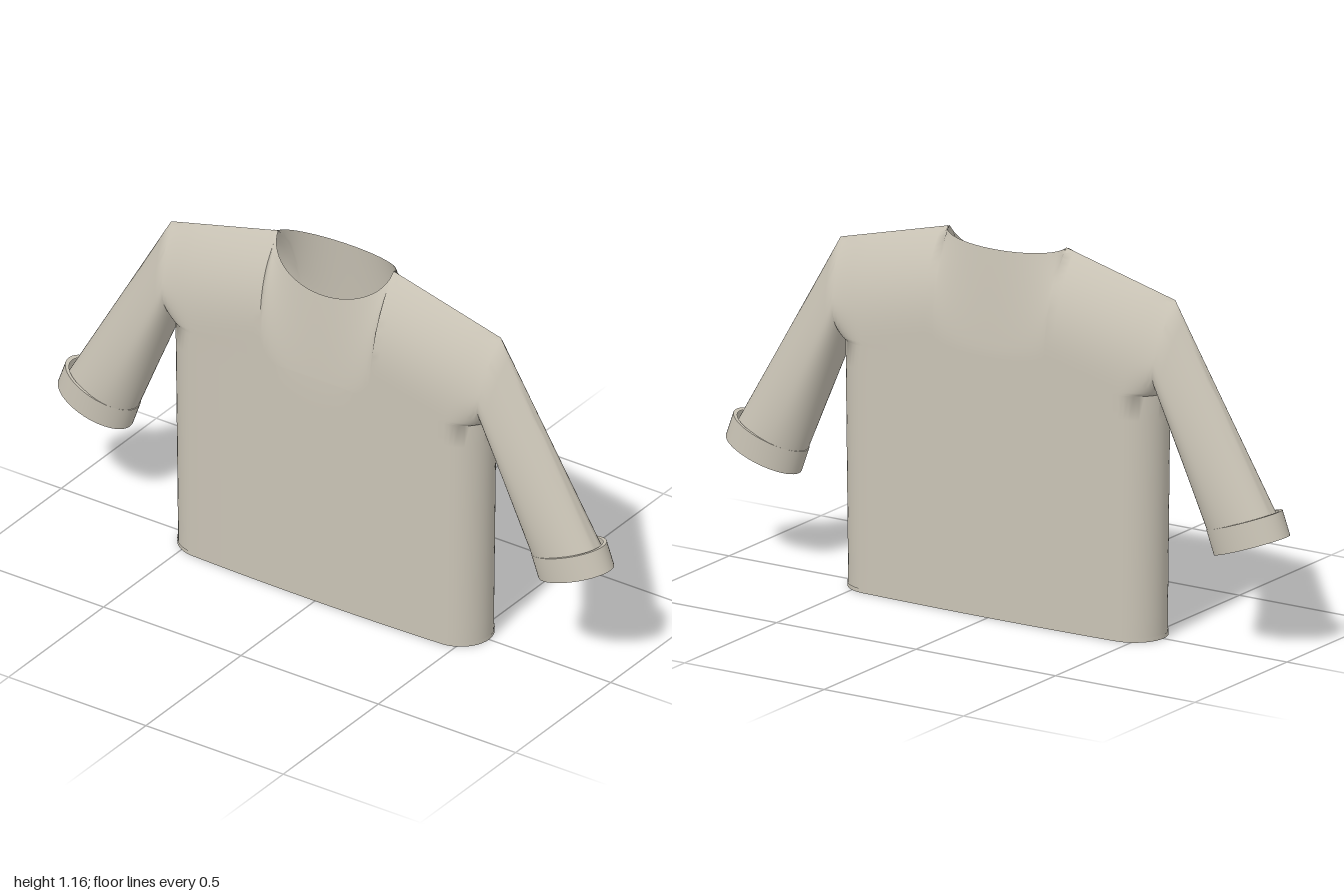
import * as THREE from 'three';
import { mergeGeometries, toCreasedNormals } from 'three/addons/utils/BufferGeometryUtils.js';

const NECK = 0.21, SHOULDER = 0.6, PIT = 0.77, TIP = 1.065, PEAK = 1.165;
const ROWS = 24; // rows between armpit and shoulder
const { clamp, lerp } = THREE.MathUtils;

// Grid surface from a point rule; faces outward when u runs right and v up
function grid(nu, nv, point) {
  const pos = [], index = [];
  for (let j = 0; j <= nv; j++) for (let i = 0; i <= nu; i++) pos.push(...point(i, j));
  const w = nu + 1;
  for (let j = 0; j < nv; j++) for (let i = 0; i < nu; i++) {
    const a = j * w + i;
    index.push(a, a + 1, a + w + 1, a, a + w + 1, a + w);
  }
  const g = new THREE.BufferGeometry();
  g.setAttribute('position', new THREE.Float32BufferAttribute(pos, 3));
  g.setIndex(index);
  return g;
}

// Half width of the body at height y
const width = (y) => y < PIT ? lerp(0.555, 0.565, y / PIT)
  : lerp(0.565, SHOULDER, clamp((y - PIT) / (TIP - PIT), 0, 1));

// 1 at the middle of the neck opening, 0 at its corners and beyond
const neckArc = (X) => Math.sqrt(Math.max(0, 1 - (X / NECK) ** 2));

// Top edge: neckline in the middle, sloping shoulder outside
const topEdge = (X, side) => Math.abs(X) <= NECK
  ? PEAK - (side > 0 ? 0.115 : 0.02) * neckArc(X)
  : PEAK - (PEAK - TIP) * (Math.abs(X) - NECK) / (SHOULDER - NECK);

// Roof-like swelling below the top edge
const swell = (s, power) => 1 - (1 - clamp(s / 0.32, 0, 1)) ** power;

// Depth of the armhole: rounded at the armpit, pointed at the shoulder
function armhole(y) {
  const k = clamp((y - PIT) / 0.11, 0, 1);
  return 0.095 * swell(TIP - y, 2.5) * Math.sqrt(1 - (1 - k) ** 2);
}

// Point on the body; X is the column at shoulder width, side is 1 front, -1 back
function bodyPoint(X, y, side, out = 0) {
  const arc = neckArc(X), edge = 0.078 * arc;
  const full = 0.108 - 0.013 * (X / SHOULDER) ** 2;
  const depth = edge + (full - edge) * swell(topEdge(X, side) - y, lerp(2.5, 1.2, arc));
  const q = clamp((Math.abs(X) - 0.49) / 0.11, 0, 1);
  const hole = armhole(y);
  const z = hole + (depth - hole) * Math.sqrt(1 - q * q);
  return [X / SHOULDER * width(y), y, side * (z + out)];
}

// Columns, closer together at the neck corners and sides
const half = [];
for (let i = 1; i <= 14; i++) half.push(NECK * Math.sin(i / 14 * Math.PI / 2));
for (let i = 1; i <= 10; i++) half.push(lerp(NECK, 0.49, i / 10));
for (let i = 1; i <= 10; i++) half.push(0.49 + 0.11 * Math.sin(i / 10 * Math.PI / 2));
const columns = [...half.map((x) => -x).reverse(), 0, ...half];
const LAST = columns.length - 1;
const column = (i, side) => columns[side > 0 ? i : LAST - i];

const rowStep = (j) => (1 - Math.cos(Math.PI * j / ROWS)) / 2;
const LOW = 10; // rows below the armpit

const bodySheet = (side) => grid(LAST, LOW + ROWS, (i, j) => {
  const X = column(i, side);
  const y = j <= LOW ? PIT * j / LOW : lerp(PIT, topEdge(X, side), rowStep(j - LOW));
  return bodyPoint(X, y, side);
});

// Sleeve lofted from the armhole to an oval end
function sleeveGeometry(mirror) {
  const steps = 12;
  return grid(steps, ROWS * 2, (i, j) => {
    const t = (mirror > 0 ? i : steps - i) / steps;
    const back = j > ROWS;
    const y = lerp(PIT, TIP, rowStep(back ? 2 * ROWS - j : j));
    const z = armhole(y) * (back ? -1 : 1);
    const c = -Math.cos(Math.PI * j / ROWS), s = Math.sin(Math.PI * j / ROWS);
    return [mirror * lerp(width(y), 0.87 + 0.115 * c, t),
      lerp(y, 0.35 + 0.045 * c, t), lerp(z, 0.08 * s, t)];
  });
}

// Turned-up cuff: a short oval band with a lip folding in at its upper edge
function cuffGeometry(mirror) {
  const rings = [[0.08, 0.9], [0.08, 1], [0.04, 1], [0, 1], [0, 0.95]]; // [height, scale]
  const n = rings.length - 1;
  return grid(n, 48, (i, j) => {
    const [h, k] = rings[mirror > 0 ? i : n - i];
    const a = j / 48 * Math.PI * 2, c = -Math.cos(a) * k;
    return [mirror * (0.875 - 0.34 * h + 0.125 * c), 0.345 + 0.94 * h + 0.045 * c,
      0.085 * Math.sin(a) * k];
  });
}

// Narrow bands sewn along the bottom and around the neck
const hemSheet = (side) => grid(LAST, 1, (i, j) => {
  const [x, y, z] = bodyPoint(column(i, side), j * 0.013, side);
  return [x * 1.004, y, z * 1.03];
});
const collarSheet = (side) => grid(40, 3, (i, j) => {
  const a = side * (i / 40 - 0.5) * Math.PI, k = 1.1 - 0.1 * j / 3;
  const X = NECK * k * Math.sin(a) * 0.9999;
  const drop = (side > 0 ? 0.115 : 0.02) + (k - 1) * 0.2;
  const y = Math.min(PEAK - drop * Math.cos(a), topEdge(X, side));
  return bodyPoint(X, y, side, 0.002);
});

export function createModel() {
  const fabric = new THREE.MeshStandardMaterial({ color: 0xc9c3b5, side: THREE.DoubleSide });
  fabric.name = 'beige fabric';
  const group = new THREE.Group();
  group.name = 'shirt';
  const add = (name, geometry) => {
    const mesh = new THREE.Mesh(geometry, fabric);
    mesh.name = name;
    group.add(mesh);
  };

  // Body and sleeves are shaded together so the armhole seams stay smooth
  const names = ['bodyFront', 'bodyBack', 'leftSleeve', 'rightSleeve'];
  const parts = [bodySheet(1), bodySheet(-1), sleeveGeometry(1), sleeveGeometry(-1)];
  const joined = toCreasedNormals(mergeGeometries(parts), 1.1);
  let start = 0;
  parts.forEach((part, p) => {
    const end = start + part.index.count;
    const g = new THREE.BufferGeometry();
    for (const key of ['position', 'normal']) {
      const data = joined.attributes[key].array.slice(start * 3, end * 3);
      g.setAttribute(key, new THREE.BufferAttribute(data, 3));
    }
    add(names[p], g);
    start = end;
  });

  add('leftCuff', toCreasedNormals(cuffGeometry(1), 0.8));
  add('rightCuff', toCreasedNormals(cuffGeometry(-1), 0.8));
  add('hem', toCreasedNormals(mergeGeometries([hemSheet(1), hemSheet(-1)]), 0.8));
  add('collar', toCreasedNormals(mergeGeometries([collarSheet(1), collarSheet(-1)]), 0.8));
  return group;
}
